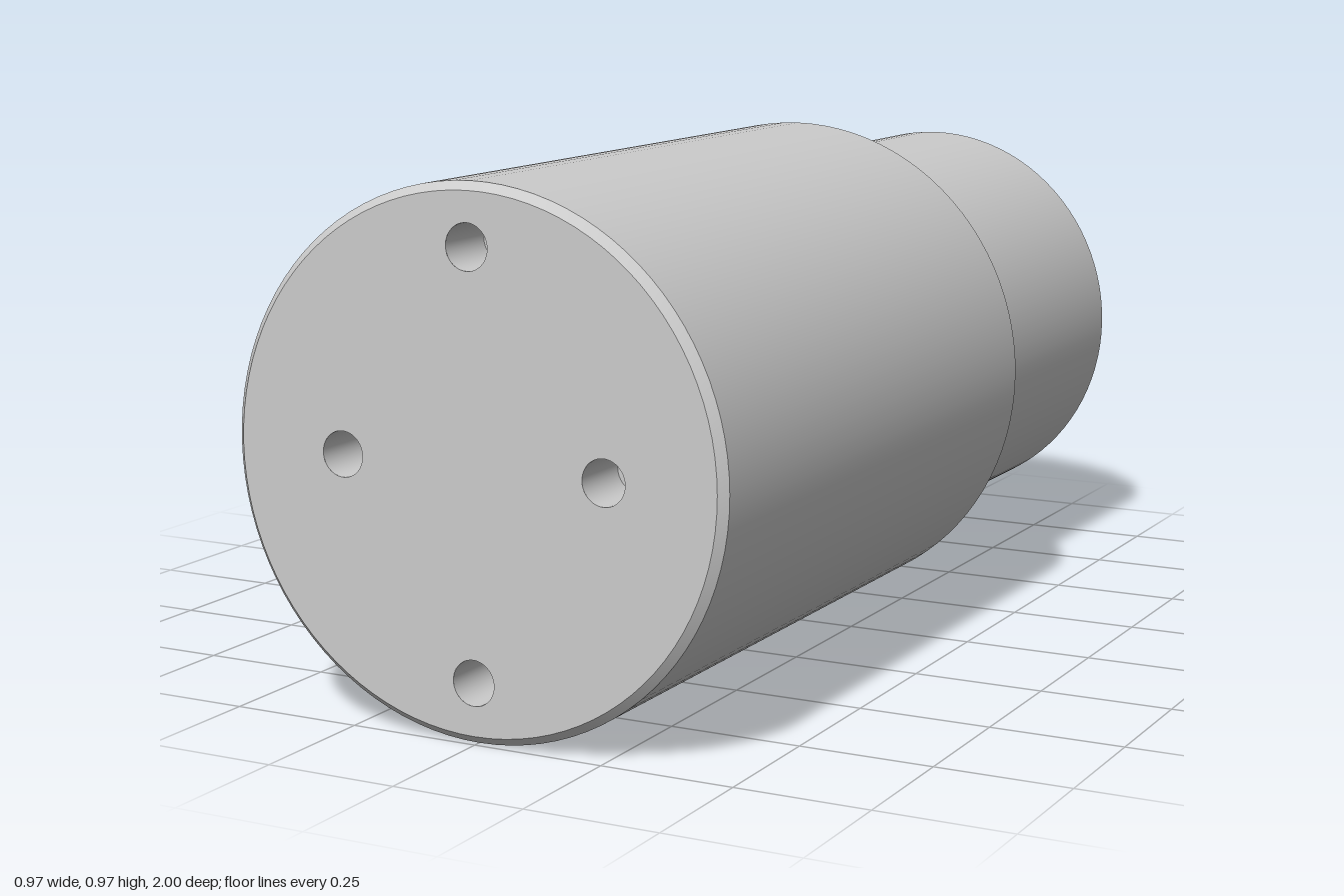
import * as THREE from 'three';
import { toCreasedNormals } from 'three/addons/utils/BufferGeometryUtils.js';

const AXIS_Y = 0.487;
const mat = new THREE.MeshStandardMaterial({ color: 0xcccccc });
const boreMat = new THREE.MeshStandardMaterial({ color: 0xcccccc, side: THREE.BackSide });

function addMesh(parent, name, geometry, material = mat) {
  const mesh = new THREE.Mesh(geometry, material);
  mesh.name = name;
  parent.add(mesh);
  return mesh;
}

// Solid of revolution around the z axis from (radius, z) pairs
function turned(profile) {
  const points = profile.map(([r, z]) => new THREE.Vector2(r, z));
  const geometry = new THREE.LatheGeometry(points, 96).rotateX(Math.PI / 2);
  return toCreasedNormals(geometry, 0.5);
}

// Flat round end face (facing +z) with blind holes given as [x, y, radius]
function drilledFace(name, radius, holes, depth) {
  const group = new THREE.Group();
  group.name = name;
  const shape = new THREE.Shape().absarc(0, 0, radius, 0, Math.PI * 2);
  for (const [x, y, r] of holes) {
    shape.holes.push(new THREE.Path().absarc(x, y, r, 0, Math.PI * 2, true));
    const wall = new THREE.CylinderGeometry(r, r, depth, 48, 1, true).rotateX(Math.PI / 2);
    addMesh(group, 'holeWall', wall, boreMat).position.set(x, y, -depth / 2);
    addMesh(group, 'holeFloor', new THREE.CircleGeometry(r, 48)).position.set(x, y, -depth);
  }
  addMesh(group, 'endPlate', new THREE.ShapeGeometry(shape, 48));
  return group;
}

export function createModel() {
  const model = new THREE.Group();
  model.name = 'linearActuator';
  const core = new THREE.Group();
  core.name = 'actuatorBody';
  core.position.y = AXIS_Y;
  model.add(core);

  // Outer housing: chamfered cup, open at the back
  addMesh(core, 'housing', turned([
    [0, 0.85], [0.435, 0.85], [0.435, -0.28], [0.472, -0.28],
    [0.487, -0.265], [0.487, 0.985], [0.472, 1],
  ]));
  const front = drilledFace('housingFace', 0.472, [
    [0, 0.377, 0.041], [0, -0.377, 0.041], [0.26, 0, 0.041], [-0.26, 0, 0.041],
  ], 0.12);
  front.position.z = 1;
  core.add(front);

  // Moving plunger sliding inside the housing
  addMesh(core, 'plunger', turned([
    [0.395, -1], [0.41, -0.985], [0.41, 0.5], [0, 0.5],
  ]));
  const back = drilledFace('plungerFace', 0.395, [
    [0, 0, 0.058], [0, 0.2, 0.041], [0, -0.2, 0.041],
  ], 0.15);
  back.position.z = -1;
  back.rotation.y = Math.PI;
  core.add(back);

  // Pair of parallel lead pins on the plunger's upper side
  const pins = new THREE.Group();
  pins.name = 'leadPins';
  pins.position.z = -0.94;
  pins.rotation.z = Math.PI / 3;
  core.add(pins);
  for (const side of [-1, 1]) {
    const pin = addMesh(pins, 'leadPin', new THREE.CylinderGeometry(0.0235, 0.0235, 0.16, 32));
    pin.position.set(side * 0.032, 0.44, 0);
  }
  return model;
}
